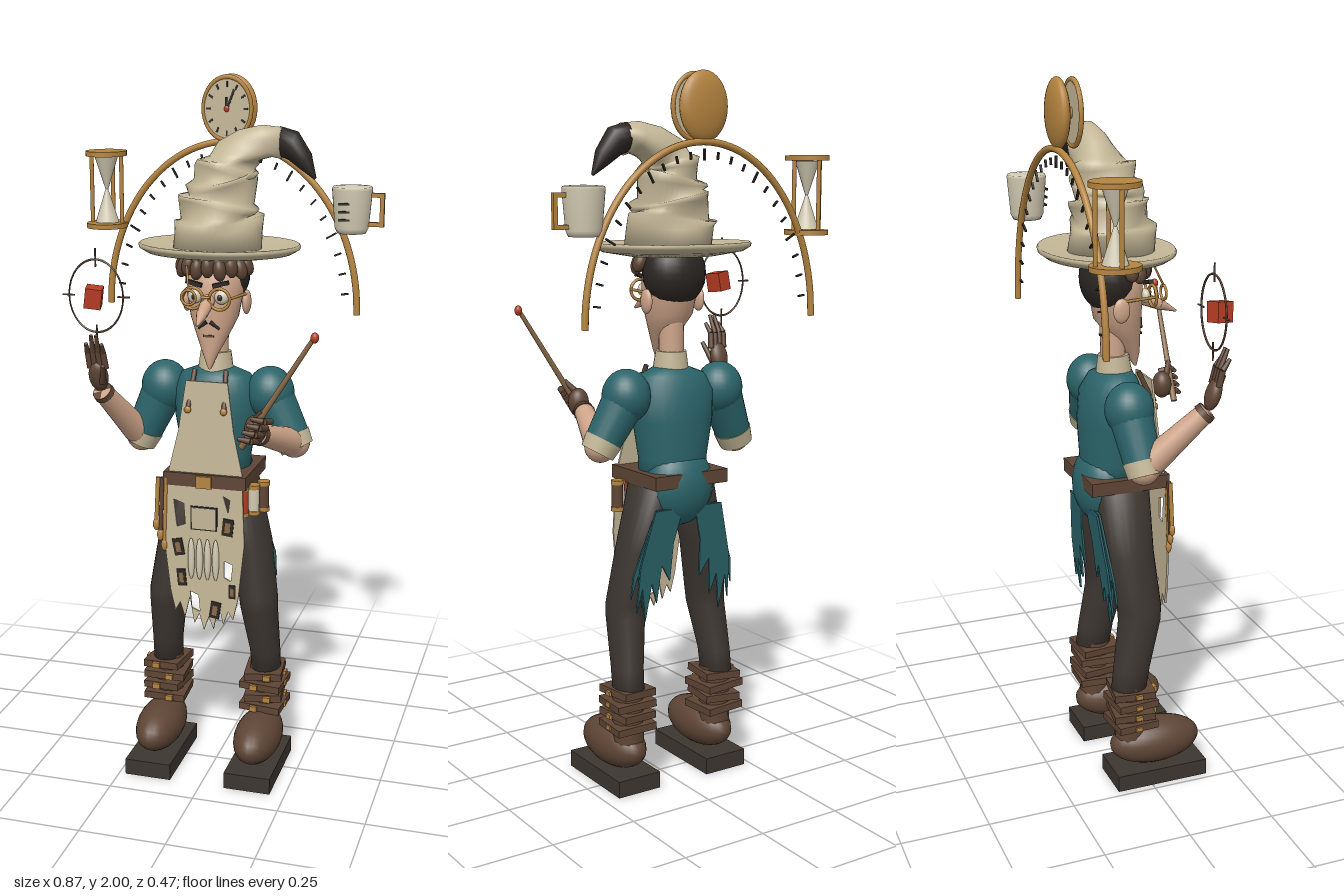
import * as THREE from 'three';

const mat = (name, color, double) => {
  const m = new THREE.MeshStandardMaterial({ color });
  m.name = name;
  if (double) m.side = THREE.DoubleSide;
  return m;
};

export function createModel() {
  const root = new THREE.Group();
  root.name = 'tinkerer';
  root.position.x = -0.012;
  const teal = mat('teal cloth', 0x2b646a, true), cream = mat('cream cloth', 0xc4b797, true);
  const skin = mat('skin', 0xcfa58a), leather = mat('brown leather', 0x5e4535);
  const trouser = mat('dark trousers', 0x3d3631), gold = mat('brass', 0xb5843f);
  const red = mat('red', 0xb83c24), ink = mat('ink', 0x2b2623);
  const pale = mat('pale ceramic', 0xd2cab2, true), tan = mat('tan patch', 0x8a6a48);

  // Helpers
  const V = (p) => new THREE.Vector3(...p);
  const add = (name, geo, m, pos = [0, 0, 0], rot = [0, 0, 0], parent = root) => {
    const mesh = new THREE.Mesh(geo, m);
    mesh.name = name;
    mesh.position.set(...pos);
    mesh.rotation.set(...rot);
    parent.add(mesh);
    return mesh;
  };
  const box = (name, m, size, pos, rot, parent) => add(name, new THREE.BoxGeometry(...size), m, pos, rot, parent);
  const ball = (name, m, radii, pos, rot, parent) => {
    const mesh = add(name, new THREE.SphereGeometry(1, 24, 16), m, pos, rot, parent);
    mesh.scale.set(...radii);
    return mesh;
  };
  const rod = (name, m, a, b, r1, r2 = r1, sides = 12) => {
    const d = V(b).sub(V(a));
    const mesh = add(name, new THREE.CylinderGeometry(r2, r1, d.length(), sides), m, V(a).add(V(b)).multiplyScalar(0.5).toArray());
    mesh.quaternion.setFromUnitVectors(new THREE.Vector3(0, 1, 0), d.normalize());
    return mesh;
  };
  // Lofts rings [x, y, z, rx, rz, tilt] listed from bottom to top
  const loft = (name, m, rows, sides = 24, wrinkle = 0) => {
    const pos = [], idx = [], n = rows.length;
    rows.forEach(([x, y, z, rx, rz, t = 0], i) => {
      for (let j = 0; j < sides; j++) {
        const a = (j / sides) * Math.PI * 2;
        const k = 1 + wrinkle * Math.sin(3 * a + i * 1.3);
        const c = Math.cos(a) * rx * k;
        pos.push(x + c * Math.cos(t), y + c * Math.sin(t) + wrinkle * 0.12 * Math.sin(2 * a + i), z + Math.sin(a) * rz * k);
        const p = i * sides + j, q = i * sides + ((j + 1) % sides);
        if (i < n - 1) idx.push(p, p + sides, q, q, p + sides, q + sides);
      }
    });
    [0, n - 1].forEach((i) => {
      const c = pos.length / 3;
      pos.push(...rows[i].slice(0, 3));
      for (let j = 0; j < sides; j++) {
        const p = i * sides + j, q = i * sides + ((j + 1) % sides);
        if (i) idx.push(c, q, p); else idx.push(c, p, q);
      }
    });
    const g = new THREE.BufferGeometry();
    g.setAttribute('position', new THREE.Float32BufferAttribute(pos, 3));
    g.setIndex(idx);
    g.computeVertexNormals();
    return add(name, g, m);
  };
  // Thin cut-out sheet; z follows height
  const sheet = (name, m, outline, zRule, holes = []) => {
    const s = new THREE.Shape(outline.map((p) => new THREE.Vector2(...p)));
    holes.forEach((h) => s.holes.push(new THREE.Path(h.map((p) => new THREE.Vector2(...p)))));
    const g = new THREE.ExtrudeGeometry(s, { depth: 0.006, bevelEnabled: false });
    const p = g.attributes.position;
    for (let i = 0; i < p.count; i++) p.setZ(i, p.getZ(i) + zRule(p.getY(i)));
    g.computeVertexNormals();
    return add(name, g, m);
  };

  // Legs, boots and ragged shirt tails
  for (const s of [1, -1]) {
    box('sole', trouser, [0.137, 0.048, 0.275], [s * 0.15, 0.024, 0.032]);
    ball('shoe', leather, [0.068, 0.068, 0.137], [s * 0.15, 0.112, 0.032]);
    rod('bootShaft', leather, [s * 0.15, 0.13, -0.045], [s * 0.15, 0.31, -0.045], 0.045);
    for (let i = 0; i < 4; i++) {
      box('bootStrap', leather, [0.122 - (i % 2) * 0.012, 0.021, 0.12], [s * 0.15, 0.188 + i * 0.034, -0.042], [0, s * (i % 2 ? 0.12 : -0.06), (i % 2 - 0.5) * 0.08]);
      box('bootBuckle', gold, [0.022, 0.016, 0.01], [s * (0.13 + (i % 2) * 0.04), 0.188 + i * 0.034, 0.021]);
      box('strapStud', gold, [0.008, 0.012, 0.02], [s * 0.212, 0.188 + i * 0.034, -0.04]);
    }
    loft('trouserLeg', trouser, [
      [s * 0.152, 0.29, -0.05, 0.043, 0.052], [s * 0.15, 0.36, -0.04, 0.044, 0.054], [s * 0.138, 0.5, -0.012, 0.054, 0.062],
      [s * 0.135, 0.54, -0.012, 0.056, 0.064], [s * 0.108, 0.7, -0.032, 0.06, 0.071], [s * 0.063, 0.88, -0.038, 0.063, 0.08]]);
    sheet('shirtTail', teal, [[0.02, 0.82], [0.11, 0.82], [0.15, 0.66], [0.155, 0.53], [0.14, 0.6], [0.125, 0.5], [0.11, 0.61], [0.09, 0.55], [0.08, 0.66], [0.05, 0.61], [0.045, 0.72]]
      .map(([x, y]) => [x * s, y]), (y) => -0.098 - (y - 0.5) * 0.1);
    sheet('shirtTailUnder', teal, [[0.05, 0.82], [0.1, 0.82], [0.165, 0.64], [0.17, 0.57], [0.15, 0.64], [0.13, 0.54], [0.1, 0.68]]
      .map(([x, y]) => [x * s, y]), (y) => -0.088 - (y - 0.5) * 0.1);
  }
  ball('shirtSeat', teal, [0.105, 0.115, 0.08], [0, 0.875, -0.075]);

  // Torso, belt and neck
  loft('shirtTorso', teal, [[0, 0.88, -0.045, 0.1, 0.085], [0, 0.95, -0.045, 0.1, 0.088], [0, 1.06, -0.045, 0.12, 0.093],
    [0, 1.14, -0.045, 0.125, 0.085], [0, 1.185, -0.04, 0.1, 0.065], [0, 1.205, -0.035, 0.05, 0.045]], 28);
  box('belt', leather, [0.24, 0.038, 0.23], [0, 0.9, -0.03]);
  box('beltBuckle', gold, [0.045, 0.035, 0.012], [0, 0.898, 0.088]);
  rod('neck', skin, [0, 1.18, -0.037], [0, 1.36, -0.04], 0.035, 0.035, 20);
  rod('collar', cream, [0, 1.185, -0.035], [0, 1.25, -0.037], 0.052, 0.043, 20);

  // Apron with tears, patches and straps
  const bibZ = (y) => 0.052 + (1.19 - y) * 0.06, skirtZ = (y) => 0.09 - (y - 0.45) * 0.03;
  sheet('apronBib', cream, [[-0.06, 1.18], [0.06, 1.18], [0.08, 1.04], [0.11, 0.91], [-0.11, 0.91], [-0.08, 1.04]], bibZ);
  const hem = [];
  for (let i = 0; i <= 14; i++) {
    const u = i / 14;
    hem.push([-0.098 + 0.2 * u, 0.5 + Math.abs(u - 0.55) * 0.12 + (i % 2 ? -0.05 : 0.02 * Math.sin(i * 2))]);
  }
  sheet('apronSkirt', cream, [[0.11, 0.89], [-0.11, 0.89], [-0.118, 0.72], ...hem, [0.118, 0.72]], skirtZ, [
    [[-0.09, 0.84], [-0.06, 0.83], [-0.055, 0.77], [-0.08, 0.76]], [[0.06, 0.67], [0.085, 0.66], [0.08, 0.61], [0.06, 0.62]],
    [[-0.04, 0.57], [-0.015, 0.56], [-0.01, 0.51], [-0.035, 0.52]], [[0.055, 0.86], [0.075, 0.85], [0.07, 0.81]]]);
  for (const [x, y, w, h, r] of [[-0.075, 0.7, 0.03, 0.05, 0.2], [0.07, 0.77, 0.032, 0.05, -0.1], [-0.065, 0.61, 0.026, 0.05, 0.1], [0.035, 0.52, 0.03, 0.05, -0.15], [0.085, 0.58, 0.02, 0.04, 0]]) {
    box('apronPatch', ink, [w, h, 0.004], [x, y, skirtZ(y) + 0.007], [0, 0, r]);
    box('patchCentre', tan, [w * 0.5, h * 0.6, 0.004], [x, y, skirtZ(y) + 0.009], [0, 0, r]);
  }
  box('apronPocket', ink, [0.078, 0.07, 0.004], [0, 0.79, skirtZ(0.79) + 0.006]);
  box('pocketFace', cream, [0.07, 0.062, 0.006], [0, 0.79, skirtZ(0.79) + 0.007]);
  for (let i = 0; i < 4; i++) ball('pocketFold', pale, [0.01, 0.062, 0.009], [-0.036 + i * 0.024, 0.67, 0.093]);
  for (const s of [1, -1]) {
    rod('apronStrap', leather, [s * 0.045, 1.205, 0.02], [s * 0.052, 1.1, 0.067], 0.007);
    ball('strapButton', gold, [0.01, 0.01, 0.006], [s * 0.052, 1.1, 0.07]);
  }

  // Things hung from the belt
  [[0.105, red, 0.84], [0.13, pale, 0.84], [0.152, leather, 0.845]].forEach(([x, m, y], i) => {
    rod('beltVial', m, [x, y - 0.04, 0.055 - i * 0.025], [x, y + 0.04, 0.055 - i * 0.025], 0.016);
    for (const d of [-0.036, 0.04]) rod('vialCap', gold, [x, y + d - 0.006, 0.055 - i * 0.025], [x, y + d + 0.006, 0.055 - i * 0.025], 0.018);
  });
  for (let i = 0; i < 3; i++) {
    const x = -0.118 - i * 0.012;
    rod('beltTool', i === 1 ? leather : gold, [x, 0.7 + i * 0.03, 0.085], [x + 0.005, 0.9, 0.08], 0.006);
    ball('toolEnd', gold, [0.01, 0.018, 0.008], [x, 0.7 + i * 0.03, 0.085]);
  }

  // Arms: shoulder, elbow, wrist
  const arms = [
    { sh: [-0.155, 1.135, -0.05], el: [-0.222, 0.985, -0.035], wr: [-0.285, 1.15, 0.12] },
    { sh: [0.155, 1.135, -0.05], el: [0.23, 1.0, -0.035], wr: [0.172, 1.07, 0.155] }];
  for (const { sh, el, wr } of arms) {
    ball('shoulder', teal, [0.068, 0.075, 0.068], sh);
    rod('sleeve', teal, sh, el, 0.062, 0.05, 20);
    const cuff = V(sh).lerp(V(el), 0.86).toArray();
    rod('sleeveCuff', cream, cuff, V(sh).lerp(V(el), 1.12).toArray(), 0.054, 0.048, 20);
    ball('elbow', skin, [0.044, 0.044, 0.044], el);
    rod('forearm', skin, el, wr, 0.042, 0.027, 20);
    rod('gloveCuff', leather, V(el).lerp(V(wr), 0.93).toArray(), wr, 0.031, 0.029, 16);
  }
  // Raised open hand
  ball('rightPalm', leather, [0.028, 0.045, 0.02], [-0.288, 1.195, 0.135], [0.3, 0, 0]);
  for (let i = 0; i < 4; i++) {
    const x = -0.309 + i * 0.015, top = 1.305 + (i % 3 ? 0.012 : -0.012);
    rod('rightFinger', leather, [x, 1.22, 0.142], [x - 0.004, 1.265, 0.15], 0.009, 0.008);
    rod('rightFingertip', leather, [x - 0.004, 1.265, 0.15], [x, top, 0.172], 0.008, 0.005);
  }
  rod('rightThumb', leather, [-0.272, 1.18, 0.145], [-0.258, 1.235, 0.18], 0.01, 0.006);
  // Closed hand with wand
  ball('leftPalm', leather, [0.03, 0.04, 0.028], [0.172, 1.09, 0.182]);
  for (let i = 0; i < 4; i++) {
    const y = 1.06 + i * 0.019, x = 0.15 + i * 0.012;
    rod('leftFinger', leather, [x + 0.03, y, 0.19], [x + 0.02, y + 0.008, 0.225], 0.009);
    rod('leftFingertip', leather, [x + 0.02, y + 0.008, 0.225], [x - 0.015, y + 0.012, 0.222], 0.009, 0.006);
  }
  rod('leftThumb', leather, [0.165, 1.11, 0.19], [0.2, 1.15, 0.215], 0.01, 0.007);
  rod('wand', tan, [0.14, 1.045, 0.208], [0.335, 1.355, 0.225], 0.009, 0.006);
  ball('wandTip', red, [0.011, 0.014, 0.011], [0.338, 1.357, 0.225]);

  // Head and face
  loft('face', skin, [[0, 1.21, 0.028, 0.004, 0.004], [0, 1.25, 0.018, 0.021, 0.022], [0, 1.3, -0.005, 0.045, 0.045], [0, 1.35, -0.025, 0.067, 0.066],
    [0, 1.42, -0.03, 0.08, 0.074], [0, 1.5, -0.035, 0.08, 0.074]]);
  ball('hair', ink, [0.092, 0.095, 0.078], [0, 1.465, -0.052]);
  for (let i = 0; i < 9; i++) {
    const a = (i - 4) * 0.36;
    ball('fringeLock', leather, [0.018, 0.03, 0.02], [Math.sin(a) * 0.092, 1.497 - (i % 2) * 0.008, -0.03 + Math.cos(a) * 0.078], [0, 0, (i - 4) * 0.1]);
  }
  rod('nose', skin, [0, 1.405, 0.035], [0, 1.375, 0.105], 0.019, 0.015);
  rod('noseTip', skin, [0, 1.378, 0.1], [0, 1.355, 0.15], 0.016, 0.003);
  for (const s of [1, -1]) {
    ball('ear', skin, [0.012, 0.034, 0.024], [s * 0.086, 1.39, -0.045]);
    ball('eye', pale, [0.02, 0.02, 0.014], [s * 0.038, 1.415, 0.041]);
    ball('pupil', ink, [0.007, 0.008, 0.005], [s * 0.036, 1.415, 0.055]);
    add('spectacleRing', new THREE.TorusGeometry(0.029, 0.0045, 8, 24), gold, [s * 0.038, 1.413, 0.064]);
    rod('spectacleArm', gold, [s * 0.067, 1.415, 0.06], [s * 0.09, 1.415, -0.045], 0.004);
    box('brow', ink, [0.045, 0.011, 0.014], [s * 0.038, 1.452, 0.05], [0, 0, s * 0.25]);
    rod('moustache', ink, [s * 0.005, 1.345, 0.04], [s * 0.03, 1.325, 0.034], 0.006, 0.003);
  }
  box('mouth', leather, [0.03, 0.006, 0.006], [0, 1.305, 0.039]);
  rod('spectacleBridge', gold, [-0.012, 1.417, 0.068], [0.012, 1.417, 0.068], 0.004);
  add('loupe', new THREE.TorusGeometry(0.02, 0.004, 8, 20), gold, [-0.04, 1.42, 0.095]);
  rod('loupeArm', gold, [-0.04, 1.44, 0.095], [-0.055, 1.5, 0.06], 0.003);

  // Crumpled hat
  const brim = add('hatBrim', new THREE.LatheGeometry([[0.001, 1.508], [0.55, 1.512], [0.9, 1.525], [0.99, 1.537], [1, 1.545], [0.98, 1.55], [0.6, 1.54], [0.001, 1.545]]
    .map((p) => new THREE.Vector2(...p)), 48), cream, [0.004, 0, -0.055]);
  brim.scale.set(0.228, 1, 0.183);
  loft('hatCrown', cream, [[0.006, 1.53, -0.04, 0.122, 0.117], [0.004, 1.59, -0.04, 0.12, 0.114], [0.002, 1.615, -0.04, 0.125, 0.116, 0.08], [0.006, 1.622, -0.042, 0.104, 0.1, 0.1],
    [0.008, 1.655, -0.043, 0.109, 0.105, -0.15], [0.008, 1.67, -0.045, 0.112, 0.107, -0.17], [0.01, 1.675, -0.047, 0.09, 0.09, -0.15],
    [0.01, 1.705, -0.05, 0.097, 0.097, 0.15], [0.012, 1.722, -0.05, 0.1, 0.098, 0.2], [0.016, 1.727, -0.052, 0.077, 0.08, 0.1],
    [0.022, 1.75, -0.055, 0.083, 0.086, -0.2], [0.025, 1.765, -0.057, 0.085, 0.086, -0.22], [0.035, 1.77, -0.06, 0.064, 0.068, -0.25],
    [0.055, 1.79, -0.065, 0.062, 0.066, -0.5], [0.09, 1.81, -0.07, 0.05, 0.057, -0.9], [0.135, 1.825, -0.073, 0.043, 0.044, -1.2], [0.175, 1.825, -0.075, 0.041, 0.036, -1.6]], 40, 0.05);
  loft('hatTip', ink, [[0.17, 1.826, -0.075, 0.04, 0.036, -1.55], [0.205, 1.815, -0.075, 0.04, 0.035, -1.9], [0.24, 1.775, -0.073, 0.026, 0.026, -2.2], [0.268, 1.73, -0.07, 0.004, 0.005, -2.3]], 16);

  // Measuring arch with ticks
  const arch = [];
  for (let i = 0; i <= 24; i++) {
    const a = (i / 24) * Math.PI, c = Math.cos(a), s = Math.sin(a);
    arch.push(new THREE.Vector3(c * 0.368, 1.34 + s * 0.475, -0.195));
    if (i > 0 && i < 24) box('archTick', ink, [i % 4 ? 0.02 : 0.032, 0.005, 0.006], [c * 0.335, 1.34 + s * 0.442, -0.195], [0, 0, a]);
  }
  add('arch', new THREE.TubeGeometry(new THREE.CatmullRomCurve3(arch), 64, 0.0095, 10), gold);

  // Clock
  const clock = new THREE.Group();
  clock.name = 'clock';
  clock.position.set(0, 1.906, -0.19);
  clock.scale.x = 0.81;
  root.add(clock);
  ball('clockCase', gold, [0.093, 0.093, 0.026], [0, 0, 0], [0, 0, 0], clock);
  add('clockFace', new THREE.CylinderGeometry(0.084, 0.084, 0.008, 40), cream, [0, 0, 0.042], [Math.PI / 2, 0, 0], clock);
  add('clockRim', new THREE.TorusGeometry(0.085, 0.007, 8, 40), gold, [0, 0, 0.042], [0, 0, 0], clock);
  add('clockStem', new THREE.CylinderGeometry(0.015, 0.015, 0.04, 12), gold, [0, 0, 0.02], [Math.PI / 2, 0, 0], clock);
  for (let i = 0; i < 12; i++) {
    const a = (i * Math.PI) / 6;
    box('hourMark', ink, [0.015, 0.006, 0.003], [Math.cos(a) * 0.066, Math.sin(a) * 0.066, 0.047], [0, 0, a], clock);
  }
  box('minuteHand', ink, [0.007, 0.06, 0.003], [0.012, 0.024, 0.048], [0, 0, -0.45], clock);
  box('hourHand', ink, [0.008, 0.035, 0.003], [-0.001, 0.014, 0.049], [0, 0, 0.05], clock);
  ball('clockPin', red, [0.009, 0.009, 0.004], [0, 0, 0.049], [0, 0, 0], clock);

  // Hourglass
  const hx = -0.366, hz = -0.17;
  for (const y of [1.572, 1.776]) {
    const plate = add('hourglassPlate', new THREE.CylinderGeometry(1, 1, 0.014, 28), gold, [hx, y, hz]);
    plate.scale.set(0.058, 1, 0.067);
  }
  for (let i = 0; i < 4; i++) {
    const a = (i * Math.PI) / 2, x = hx + Math.cos(a) * 0.045, z = hz + Math.sin(a) * 0.052;
    if (i !== 1) rod('hourglassPost', gold, [x, 1.572, z], [x, 1.776, z], 0.006);
  }
  rod('upperGlass', pale, [hx, 1.674, hz], [hx, 1.768, hz], 0.004, 0.034, 20);
  rod('lowerGlass', pale, [hx, 1.58, hz], [hx, 1.674, hz], 0.034, 0.004, 20);

  // Mug
  const mx = 0.352, mz = -0.167;
  add('mug', new THREE.LatheGeometry([[0.001, 1.575], [0.04, 1.575], [0.047, 1.59], [0.056, 1.695], [0.054, 1.702], [0.03, 1.704], [0.001, 1.705]]
    .map((p) => new THREE.Vector2(...p)), 32), pale, [mx, 0, mz]);
  for (const y of [1.6, 1.68]) box('mugHandleBar', gold, [0.045, 0.012, 0.012], [mx + 0.066, y, mz]);
  box('mugHandle', gold, [0.012, 0.092, 0.012], [mx + 0.084, 1.64, mz]);
  for (let i = 0; i < 3; i++) box('mugMark', ink, [0.03, 0.006, 0.006], [mx - 0.012, 1.615 + i * 0.022, mz + 0.049 + i * 0.002]);

  // Floating cube in a sighting ring
  const ring = add('sightRing', new THREE.TorusGeometry(0.1, 0.003, 6, 48), leather, [-0.292, 1.418, 0.13]);
  ring.scale.x = 0.78;
  box('floatingCube', red, [0.046, 0.055, 0.05], [-0.292, 1.418, 0.148], [0.1, 0.25, -0.15]);
  for (const s of [1, -1]) {
    rod('ringMark', leather, [-0.292 + s * 0.062, 1.418, 0.13], [-0.292 + s * 0.097, 1.418, 0.13], 0.0025);
    rod('ringMark', leather, [-0.292, 1.418 + s * 0.08, 0.13], [-0.292, 1.418 + s * 0.13, 0.13], 0.0025);
  }
  return root;
}
